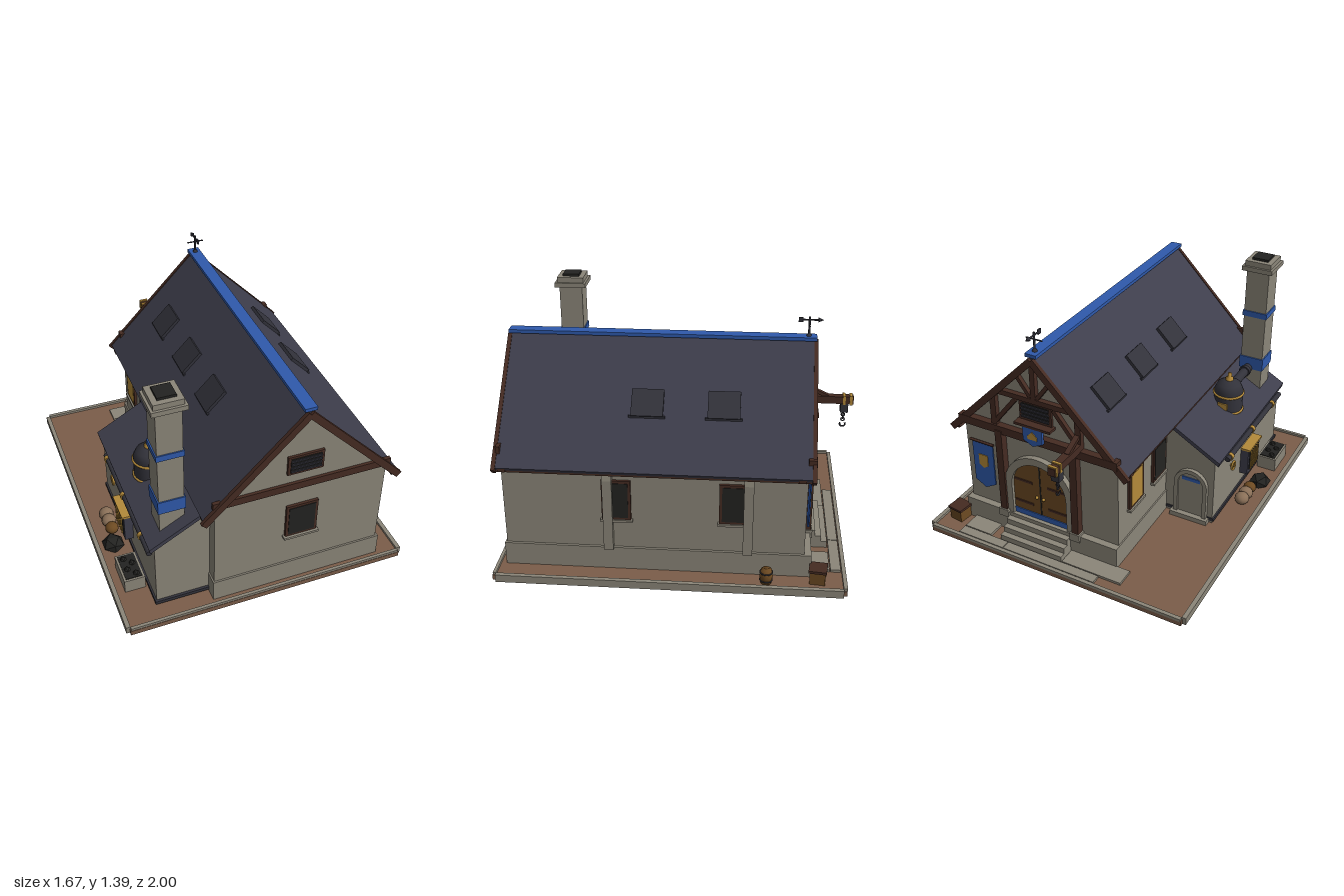
import * as THREE from 'three';

const mat = (name, color) => {
  const m = new THREE.MeshStandardMaterial({ color });
  m.name = name;
  return m;
};

export function createModel() {
  const root = new THREE.Group();
  root.name = 'workshop';
  const stone = mat('stone', 0x8b8679), slate = mat('slate', 0x3e3e4c), timber = mat('timber', 0x452b22),
    blue = mat('blue paint', 0x2f5aac), brass = mat('brass', 0xb48a3a), dark = mat('dark glass', 0x232321),
    earth = mat('earth', 0x7b5d49), wood = mat('wood', 0x6d4a22), iron = mat('iron', 0x32323a), sack = mat('sackcloth', 0x8a7058);

  const add = (name, geo, m, x = 0, y = 0, z = 0) => {
    const mesh = new THREE.Mesh(geo, m);
    mesh.name = name;
    mesh.position.set(x, y, z);
    root.add(mesh);
    return mesh;
  };
  // Box given by its limits
  const box = (name, m, x0, x1, y0, y1, z0, z1) =>
    add(name, new THREE.BoxGeometry(x1 - x0, y1 - y0, z1 - z0), m, (x0 + x1) / 2, (y0 + y1) / 2, (z0 + z1) / 2);
  // Square bar between two points
  const bar = (name, m, a, b, w, h) => {
    const p = new THREE.Vector3(...a), q = new THREE.Vector3(...b);
    const mesh = add(name, new THREE.BoxGeometry(w, h, p.distanceTo(q)), m);
    mesh.position.copy(p).add(q).multiplyScalar(0.5);
    mesh.lookAt(q);
    return mesh;
  };
  // Round rod between two points
  const rod = (name, m, a, b, r, n = 12) => {
    const p = new THREE.Vector3(...a), q = new THREE.Vector3(...b);
    const mesh = add(name, new THREE.CylinderGeometry(r, r, p.distanceTo(q), n), m);
    mesh.position.copy(p).add(q).multiplyScalar(0.5);
    mesh.quaternion.setFromUnitVectors(new THREE.Vector3(0, 1, 0), q.sub(p).normalize());
    return mesh;
  };
  const lathe = (name, m, pts, x, y, z, n = 16) =>
    add(name, new THREE.LatheGeometry(pts.map(p => new THREE.Vector2(...p)), n), m, x, y, z);
  // XY outline extruded from z0 to z1
  const prism = (name, m, shape, z0, z1) => {
    const s = Array.isArray(shape) ? new THREE.Shape(shape.map(p => new THREE.Vector2(...p))) : shape;
    return add(name, new THREE.ExtrudeGeometry(s, { depth: z1 - z0, bevelEnabled: false, curveSegments: 10 }), m, 0, 0, z0);
  };
  const arch = (cx, hw, y0, spring, Type = THREE.Shape) => {
    const s = new Type();
    s.moveTo(cx - hw, y0);
    s.lineTo(cx + hw, y0);
    s.lineTo(cx + hw, spring);
    s.absarc(cx, spring, hw, 0, Math.PI, false);
    s.closePath();
    return s;
  };

  // Yard with kerbs
  box('yard', earth, -0.82, 0.81, 0, 0.03, -0.95, 1);
  for (const [a, b] of [[-0.84, -0.815], [0.805, 0.83]]) box('sideKerb', stone, a, b, 0, 0.045, -0.93, 0.98);
  for (const [a, b] of [[-0.952, -0.93], [0.98, 0.998]]) box('endKerb', stone, -0.815, 0.805, 0.028, 0.045, a, b);

  // Main hall
  const cx = 0.175, ridge = 1.24, k = 0.575 / 0.565;
  const roofY = x => ridge - Math.abs(x - cx) * k;
  box('plinth', stone, -0.328, 0.685, 0.03, 0.165, -0.755, 0.95);
  prism('hallWalls', stone, [[-0.32, 0.03], [0.67, 0.03], [0.67, 0.7], [cx, 1.2], [-0.32, 0.7]], -0.715, 0.94);
  prism('hallRoof', slate, [[cx, ridge], [-0.39, 0.665], [-0.375, 0.643], [cx, 1.197], [0.725, 0.643], [0.74, 0.665]], -0.735, 0.955);
  for (const s of [-1, 1]) {
    bar('ridgeCap', blue, [cx + s * 0.004, ridge + 0.006, -0.745], [cx + s * 0.004, ridge + 0.006, 0.965], 0.045, 0.02)
      .position.x += s * 0.008;
    for (const z of [-0.742, 0.962]) {
      const o = 0.022;
      bar('bargeBoard', timber, [cx, ridge - o, z], [cx + s * 0.565, 0.665 - o, z], 0.022, 0.04);
    }
    const ex = cx + s * 0.54;
    box('eaveFascia', timber, ex - 0.012, ex + 0.012, 0.636, 0.668, -0.735, 0.955);
    for (const z of [-0.68, 0.92]) box('eaveBracket', timber, cx + s * 0.555 - 0.006, cx + s * 0.555 + 0.006, 0.64, 0.665, z - 0.02, z + 0.02);
  }

  // Skylights
  const skylight = (x, z) => {
    const s = Math.sign(x - cx), a = x - s * 0.055, b = x + s * 0.055;
    bar('skylightFrame', iron, [a, roofY(a) + 0.004, z], [b, roofY(b) + 0.004, z], 0.175, 0.03);
    bar('skylightPane', dark, [a + s * 0.01, roofY(a + s * 0.01) + 0.019, z], [b - s * 0.01, roofY(b - s * 0.01) + 0.019, z], 0.155, 0.008);
    bar('skylightSill', iron, [b, roofY(b) + 0.005, z - 0.1], [b, roofY(b) + 0.005, z + 0.1], 0.012, 0.012);
  };
  for (const z of [-0.445, -0.062, 0.325]) skylight(-0.107, z);
  for (const z of [-0.255, 0.16]) skylight(0.465, z);

  // Gable beams, vents and front window
  box('frontTieBeam', timber, -0.335, 0.685, 0.72, 0.765, 0.935, 0.957);
  box('backTieBeam', timber, -0.335, 0.685, 0.7, 0.75, -0.755, -0.71);
  for (const [z, s] of [[0.94, 1], [-0.715, -1]]) {
    const d = (a, b) => [Math.min(z + s * a, z + s * b), Math.max(z + s * a, z + s * b)];
    box('ventFrame', timber, 0.075, 0.28, 0.83, 0.95, ...d(0, 0.014));
    box('ventHole', dark, 0.09, 0.265, 0.843, 0.937, ...d(0.01, 0.017));
    for (let i = 0; i < 4; i++) box('ventSlat', iron, 0.09, 0.265, 0.85 + i * 0.023, 0.86 + i * 0.023, ...d(0.01, 0.024));
  }
  box('frontWindowFrame', timber, 0.085, 0.27, 0.38, 0.6, 0.935, 0.956);
  box('frontWindowPane', dark, 0.1, 0.255, 0.395, 0.585, 0.952, 0.959);
  box('frontWindowSill', stone, 0.075, 0.28, 0.368, 0.382, 0.935, 0.97);

  // Side windows and right-hand buttresses
  const sideWindow = (x, s, z, pane) => {
    const d = (a, b) => [Math.min(x + s * a, x + s * b), Math.max(x + s * a, x + s * b)];
    box('windowFrame', timber, ...d(-0.01, 0.016), 0.345, 0.585, z - 0.08, z + 0.08);
    box('windowPane', pane, ...d(0.012, 0.019), 0.36, 0.57, z - 0.065, z + 0.065);
    box('windowSill', stone, ...d(-0.01, 0.026), 0.333, 0.347, z - 0.088, z + 0.088);
  };
  sideWindow(0.67, 1, 0.315, dark);
  sideWindow(0.67, 1, -0.325, dark);
  sideWindow(-0.32, -1, -0.53, brass);
  sideWindow(-0.32, -1, -0.25, dark);
  for (const z of [0.335, -0.43])
    prism('buttress', stone, [[0.66, 0.16], [0.703, 0.16], [0.703, 0.59], [0.69, 0.65], [0.66, 0.66]], z, z + 0.053);

  // Timbered back gable
  for (const s of [-1, 1]) {
    const px = cx + s * 0.24;
    box('doorPost', timber, px - 0.022, px + 0.022, 0.16, 0.72, -0.76, -0.71);
    box('postFoot', stone, px - 0.032, px + 0.032, 0.13, 0.18, -0.768, -0.71);
    box('queenPost', timber, px - 0.018 + s * 0.03, px + 0.018 + s * 0.03, 0.74, 0.93, -0.745, -0.71);
    bar('gableBrace', timber, [cx + s * 0.27, 0.76, -0.732], [cx + s * 0.12, 0.95, -0.732], 0.025, 0.025);
    bar('upperBrace', timber, [cx + s * 0.02, 0.99, -0.732], [cx + s * 0.1, 1.1, -0.732], 0.025, 0.022);
  }
  box('collarBeam', timber, -0.06, 0.41, 0.955, 0.985, -0.745, -0.71);
  box('kingPost', timber, 0.16, 0.19, 0.97, 1.19, -0.745, -0.71);

  // Great arched door
  const surround = arch(cx, 0.225, 0.13, 0.37);
  surround.holes.push(arch(cx, 0.18, 0.13, 0.37, THREE.Path));
  prism('doorArch', stone, surround, -0.748, -0.71);
  prism('greatDoor', wood, arch(cx, 0.182, 0.13, 0.37), -0.728, -0.712);
  box('doorSeam', dark, cx - 0.004, cx + 0.004, 0.14, 0.55, -0.731, -0.725);
  box('kickPlate', blue, cx - 0.178, cx + 0.178, 0.145, 0.2, -0.733, -0.725);
  for (const s of [-1, 1]) {
    for (const y of [0.25, 0.4]) box('doorHinge', timber, cx + s * 0.11 - 0.06, cx + s * 0.11 + 0.06, y, y + 0.014, -0.733, -0.725);
    add('doorKnob', new THREE.SphereGeometry(0.01, 8, 6), brass, cx + s * 0.022, 0.32, -0.735);
  }

  // Banner and plain shield
  rod('bannerRod', timber, [0.47, 0.59, -0.74], [0.63, 0.59, -0.74], 0.008, 8);
  prism('banner', blue, [[0.48, 0.585], [0.48, 0.31], [0.55, 0.27], [0.62, 0.31], [0.62, 0.585]], -0.737, -0.73);
  prism('bannerPlate', brass, [[0.52, 0.5], [0.52, 0.43], [0.55, 0.41], [0.58, 0.43], [0.58, 0.5]], -0.741, -0.736);
  prism('shield', blue, [[0.113, 0.82], [0.113, 0.73], [cx, 0.7], [0.237, 0.73], [0.237, 0.82]], -0.772, -0.755);
  prism('shieldPlate', brass, [[0.145, 0.745], [0.205, 0.745], [0.205, 0.765], [cx, 0.795], [0.145, 0.765]], -0.776, -0.771);
  box('shieldLedge', timber, 0.06, 0.29, 0.815, 0.83, -0.775, -0.71);

  // Steps and paving
  [[-0.86, 0.07], [-0.825, 0.105], [-0.79, 0.14]].forEach(([z, y]) => box('step', stone, -0.03, 0.38, 0.03, y, z, -0.715));
  for (const [a, b, c, d] of [[-0.275, 0.32, -0.925, -0.868], [0.325, 0.63, -0.925, -0.868], [-0.41, -0.035, -0.862, -0.75], [0.45, 0.63, -0.862, -0.75]])
    box('pavingSlab', stone, a, b, 0.028, 0.045, c, d);

  // Hoist
  const hx = -0.092;
  box('hoistBeam', timber, hx - 0.022, hx + 0.022, 0.745, 0.79, -1, -0.7);
  bar('hoistBrace', timber, [hx, 0.835, -0.74], [hx, 0.785, -0.85], 0.03, 0.02);
  for (const z of [-0.945, -0.985]) box('hoistBand', brass, hx - 0.026, hx + 0.026, 0.74, 0.797, z - 0.008, z + 0.008);
  box('pulleyBlock', iron, hx - 0.025, hx + 0.025, 0.69, 0.747, -0.97, -0.925);
  for (let i = 0; i < 4; i++)
    add('chainLink', new THREE.TorusGeometry(0.01, 0.004, 6, 10), iron, hx, 0.682 - i * 0.015, -0.945).rotation.y = i * Math.PI / 2;
  const hook = add('hook', new THREE.TorusGeometry(0.016, 0.005, 6, 12, Math.PI * 1.4), iron, hx, 0.606, -0.945);
  hook.rotation.set(0, Math.PI / 2, Math.PI * 0.8, 'YXZ');

  // Weather vane
  rod('vaneMast', iron, [cx, 1.23, -0.7], [cx, 1.365, -0.7], 0.006, 8);
  rod('vaneCrossArm', iron, [0.125, 1.325, -0.7], [0.225, 1.325, -0.7], 0.004, 6);
  rod('vaneArrow', iron, [cx, 1.348, -0.765], [cx, 1.348, -0.64], 0.005, 6);
  box('vaneTail', iron, cx - 0.004, cx + 0.004, 1.335, 1.362, -0.665, -0.64);
  add('vaneTip', new THREE.ConeGeometry(0.014, 0.03, 6), iron, cx, 1.348, -0.762).rotation.x = -Math.PI / 2;
  lathe('vaneFoot', iron, [[0.018, 0], [0.012, 0.02], [0, 0.03]], cx, 1.245, -0.7, 8);

  // Lean-to
  prism('leanToWalls', stone, [[-0.63, 0.03], [-0.31, 0.03], [-0.31, 0.645], [-0.63, 0.462]], -0.135, 0.87);
  prism('leanToRoof', slate, [[-0.66, 0.475], [-0.655, 0.45], [-0.31, 0.645], [-0.31, 0.67]], -0.145, 0.88);
  box('leanToFoot', iron, -0.64, -0.325, 0.045, 0.065, -0.14, 0.885);
  const frame = arch(-0.49, 0.105, 0.045, 0.27);
  frame.holes.push(arch(-0.49, 0.08, 0.045, 0.27, THREE.Path));
  prism('smallDoorArch', stone, frame, -0.16, -0.13);
  prism('smallDoor', stone, arch(-0.49, 0.081, 0.045, 0.27), -0.147, -0.13);
  box('smallDoorBand', blue, -0.548, -0.432, 0.296, 0.318, -0.152, -0.146);
  box('smallDoorStep', stone, -0.61, -0.37, 0.03, 0.06, -0.18, -0.13);

  // Chimney
  const chx = -0.507, chz = 0.737;
  const block = (name, m, r, y0, y1) => box(name, m, chx - r, chx + r, y0, y1, chz - r, chz + r);
  block('chimneyShaft', stone, 0.07, 0.03, 1.32);
  block('chimneyBand', blue, 0.077, 0.65, 0.73);
  block('chimneyBand', blue, 0.077, 1.01, 1.045);
  block('chimneyCap', stone, 0.095, 1.312, 1.34);
  block('chimneyCapTop', stone, 0.081, 1.34, 1.372);
  block('chimneyFlue', dark, 0.05, 1.36, 1.386);

  // Boiler with flue pipe
  const bx = -0.49, bz = 0.36;
  lathe('boiler', iron, [[0.088, 0], [0.088, 0.175], [0.07, 0.215], [0.03, 0.238], [0, 0.24]], bx, 0.485, bz, 20);
  for (const y of [0.53, 0.64]) add('boilerRing', new THREE.TorusGeometry(0.089, 0.008, 6, 24), brass, bx, y, bz).rotation.x = Math.PI / 2;
  lathe('boilerValve', brass, [[0.024, 0], [0.024, 0.02], [0.012, 0.026], [0.012, 0.05], [0, 0.052]], bx, 0.717, bz, 10);
  box('boilerPlate', brass, bx - 0.03, bx + 0.03, 0.56, 0.6, bz - 0.094, bz - 0.08);
  rod('boilerFlue', iron, [bx, 0.655, bz + 0.05], [bx, 0.655, 0.67], 0.028, 14);
  rod('flueCollar', iron, [bx, 0.655, 0.6], [bx, 0.655, 0.625], 0.036, 14);

  // Wall pipe, valve wheel and furnace grate
  rod('wallPipe', iron, [-0.65, 0.41, 0], [-0.65, 0.41, 0.84], 0.016);
  for (const z of [0.04, 0.37, 0.7]) rod('pipeCollar', brass, [-0.65, 0.41, z - 0.012], [-0.65, 0.41, z + 0.012], 0.023);
  add('valveWheel', new THREE.TorusGeometry(0.026, 0.007, 6, 16), brass, -0.648, 0.3, 0.11).rotation.y = Math.PI / 2;
  rod('valveStem', brass, [-0.625, 0.3, 0.11], [-0.655, 0.3, 0.11], 0.009, 8);
  box('furnace', slate, -0.68, -0.62, 0.14, 0.315, 0.27, 0.45);
  box('furnaceMouth', dark, -0.684, -0.678, 0.165, 0.29, 0.29, 0.43);
  box('furnaceHood', brass, -0.692, -0.62, 0.312, 0.325, 0.265, 0.455);
  for (let i = 0; i < 5; i++) box('grateBar', brass, -0.69, -0.682, 0.165, 0.29, 0.302 + i * 0.026, 0.312 + i * 0.026);

  // Coal bin, coal heap and sacks
  box('coalBin', stone, -0.77, -0.65, 0.03, 0.115, 0.53, 0.73);
  box('coalBed', dark, -0.758, -0.662, 0.11, 0.12, 0.542, 0.718);
  for (let i = 0; i < 4; i++) add('coalLump', new THREE.IcosahedronGeometry(0.022, 0), dark, -0.73 + (i % 2) * 0.04, 0.115, 0.57 + i * 0.04);
  add('coalHeap', new THREE.IcosahedronGeometry(0.068, 0), dark, -0.735, 0.05, 0.365).scale.y = 0.75;
  [[0.13, sack, 0.045], [0.19, sack, 0.045], [0.255, wood, 0.04]].forEach(([z, m, r]) =>
    add('sack', new THREE.SphereGeometry(r, 12, 8), m, -0.71, 0.065, z).scale.y = 0.85);

  // Barrel and crate
  lathe('barrel', wood, [[0, 0], [0.03, 0], [0.037, 0.043], [0.03, 0.085], [0, 0.085]], 0.755, 0.03, -0.51, 12);
  for (const y of [0.05, 0.098]) add('barrelHoop', new THREE.TorusGeometry(0.034, 0.004, 6, 14), iron, 0.755, y, -0.51).rotation.x = Math.PI / 2;
  box('crate', wood, 0.675, 0.76, 0.03, 0.105, -0.835, -0.75).rotation.y = -0.12;
  box('crateLid', timber, 0.668, 0.767, 0.103, 0.118, -0.842, -0.743).rotation.y = -0.12;

  return root;
}
